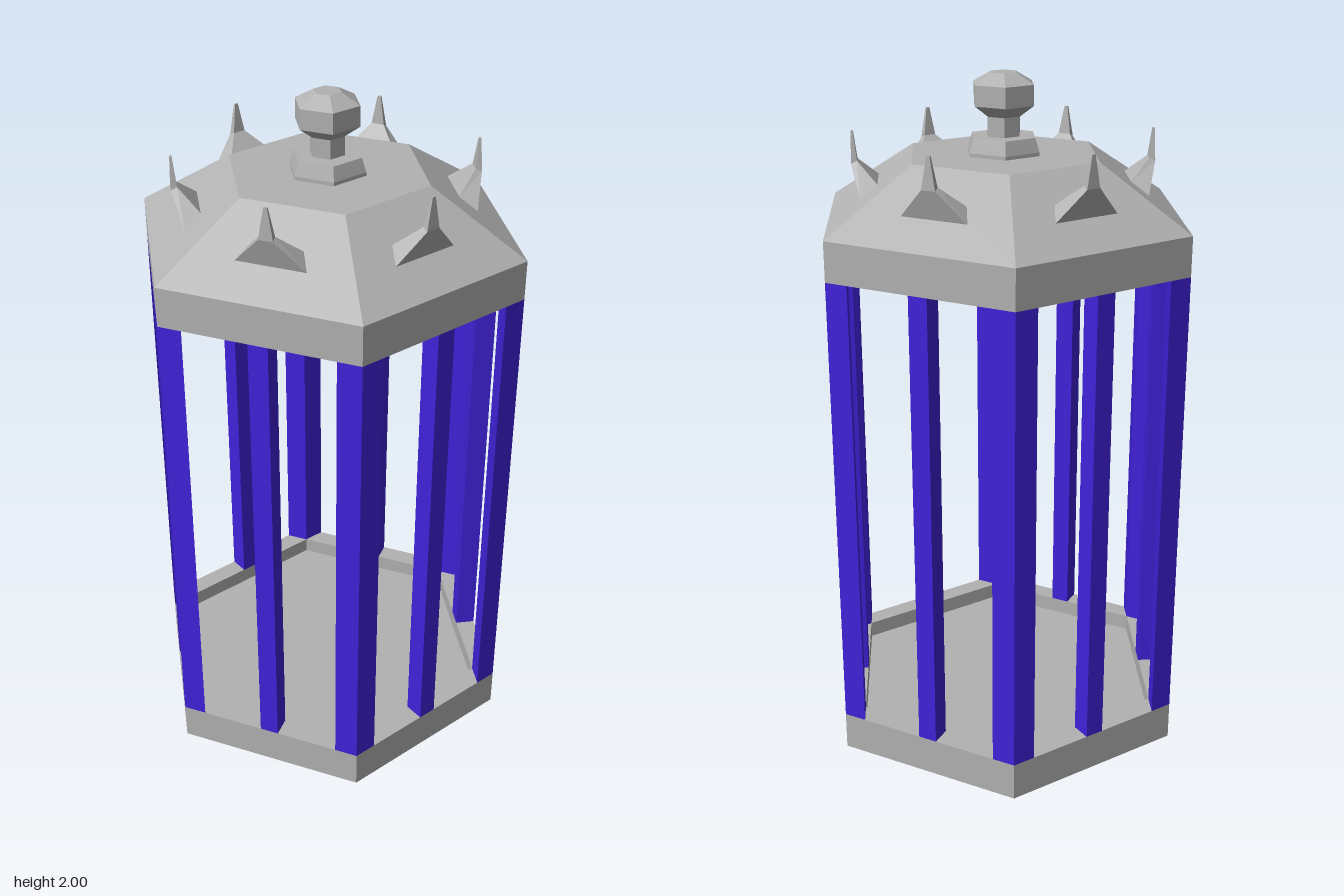
import * as THREE from 'three';

const R = 0.575;                    // hexagon corner radius
const APOTHEM = R * Math.cos(Math.PI / 6);
const BAR = 0.06;                   // bar thickness
const Y0 = 0.115, Y1 = 1.485;       // bar bottom and top

function facet(geometry) {
  const g = geometry.index ? geometry.toNonIndexed() : geometry;
  g.computeVertexNormals();
  return g;
}

// Six-sided turned solid with corners on the x axis; profile runs bottom to top
function hexLathe(profile) {
  const pts = profile.map(([r, y]) => new THREE.Vector2(r, y));
  return facet(new THREE.LatheGeometry(pts, 6, Math.PI / 2));
}

// Skin between four-cornered rings; each ring lists [x, y, z] corners
function loft(rings) {
  const pos = [];
  const tri = (a, b, c) => pos.push(...a, ...b, ...c);
  for (let k = 0; k < rings.length - 1; k++) {
    for (let i = 0; i < 4; i++) {
      const j = (i + 1) % 4;
      tri(rings[k][i], rings[k][j], rings[k + 1][j]);
      tri(rings[k][i], rings[k + 1][j], rings[k + 1][i]);
    }
  }
  const top = rings[rings.length - 1];
  tri(top[0], top[1], top[2]);
  tri(top[0], top[2], top[3]);
  const g = new THREE.BufferGeometry();
  g.setAttribute('position', new THREE.Float32BufferAttribute(pos, 3));
  return facet(g);
}

export function createModel() {
  const stone = new THREE.MeshStandardMaterial({ color: 0xb2b2b2 });
  stone.name = 'grey stone';
  const blue = new THREE.MeshStandardMaterial({ color: 0x4022da });
  blue.name = 'blue metal';

  const model = new THREE.Group();
  model.name = 'hexagonalCage';
  const add = (name, geometry, material, angle = 0) => {
    const mesh = new THREE.Mesh(geometry, material);
    mesh.name = name;
    mesh.rotation.y = angle;
    model.add(mesh);
  };

  // Base tray with a raised rim
  add('base', hexLathe([[0, 0], [R, 0], [R, Y0], [0.506, Y0], [0.506, 0.065], [0, 0.065]]), stone);

  // Hollow roof
  add('roof', hexLathe([
    [0, 1.74], [0.27, 1.74], [0.506, 1.57], [0.506, Y1],
    [R, Y1], [R, 1.6], [0.297, 1.775], [0, 1.775],
  ]), stone);

  // Finial: collar, stem and knob
  add('finial', hexLathe([
    [0.113, 1.77], [0.113, 1.785], [0.1, 1.825], [0.051, 1.825], [0.051, 1.88],
    [0.094, 1.912], [0.094, 1.97], [0.04, 2], [0, 2],
  ]), stone);

  // Corner bars: rhombus section fitting the 120 degree corner
  const side = BAR / Math.sin(Math.PI / 3);
  const rhombus = new THREE.Shape([
    new THREE.Vector2(R, 0),
    new THREE.Vector2(R - side / 2, BAR),
    new THREE.Vector2(R - side, 0),
    new THREE.Vector2(R - side / 2, -BAR),
  ]);
  const cornerBar = new THREE.ExtrudeGeometry(rhombus, { depth: Y1 - Y0, bevelEnabled: false });
  cornerBar.rotateX(-Math.PI / 2);
  cornerBar.translate(0, Y0, 0);

  // Square bars at the middle of each side
  const sideBar = new THREE.BoxGeometry(0.057, Y1 - Y0, BAR);
  sideBar.translate(0, (Y0 + Y1) / 2, APOTHEM - BAR / 2);

  // Thorn: wide foot on the roof slope, narrow neck, upright point
  const ring = (xf, yf, zf, xb, yb, zb) => [[xf, yf, zf], [xb, yb, zb], [-xb, yb, zb], [-xf, yf, zf]];
  const thorn = loft([
    ring(0.102, 1.667, 0.403, 0.074, 1.702, 0.355),
    ring(0.021, 1.752, 0.43, 0.019, 1.76, 0.413),
    ring(0.005, 1.842, 0.428, 0.005, 1.842, 0.422),
  ]);

  for (let i = 0; i < 6; i++) {
    const angle = i * Math.PI / 3;
    add('cornerBar', cornerBar, blue, angle);
    add('sideBar', sideBar, blue, angle);
    add('roofThorn', thorn, stone, angle);
  }
  return model;
}
